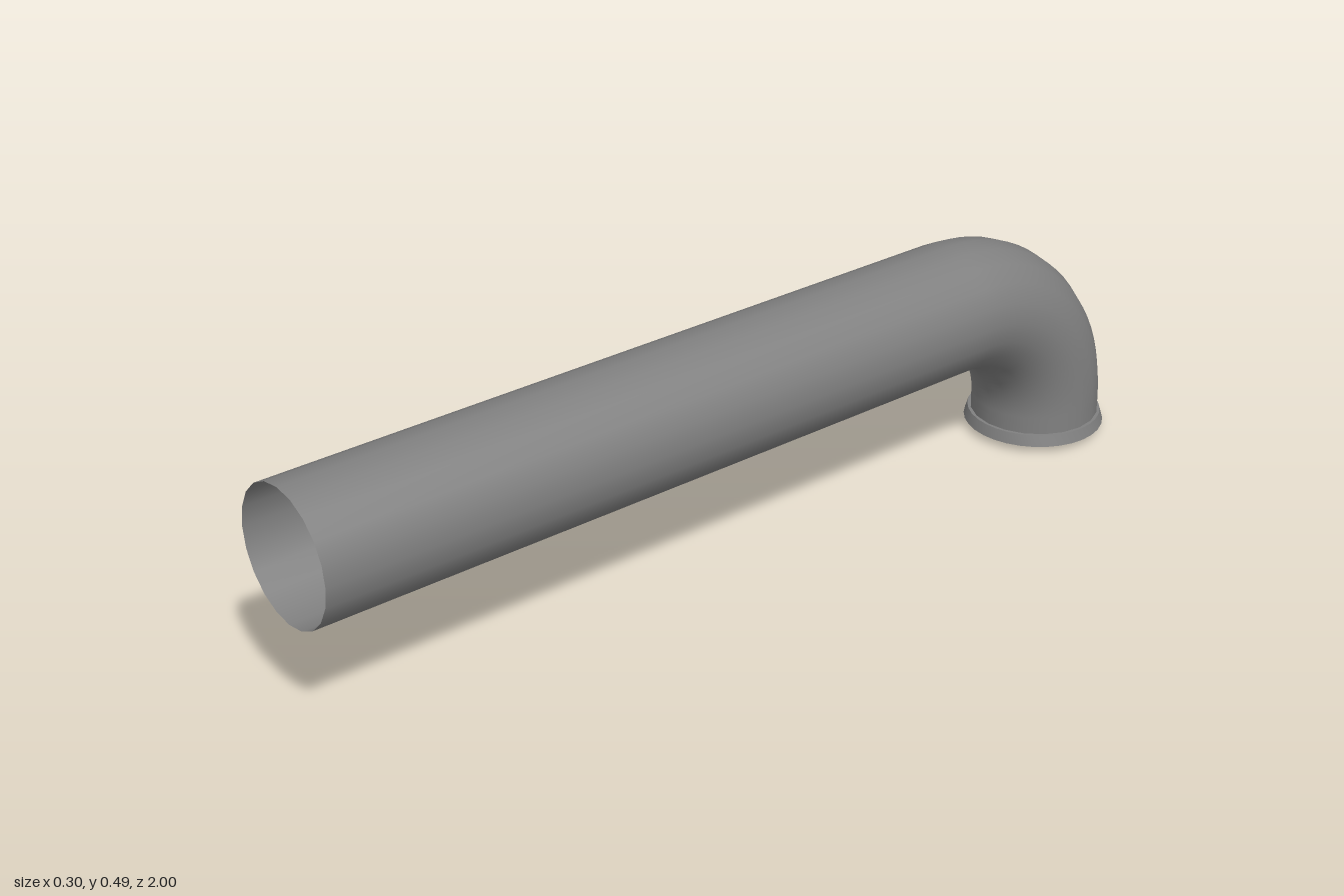
import * as THREE from 'three';
import { toCreasedNormals } from 'three/addons/utils/BufferGeometryUtils.js';

const PIPE_RADIUS = 0.137;
const PIPE_Y = 0.355;
const OUTLET_Z = -0.85;
const BEND = 0.28;
const SIDES = 20;

export function createModel() {
  const group = new THREE.Group();
  const metal = new THREE.MeshStandardMaterial({ color: 0x808080, side: THREE.DoubleSide });
  metal.name = 'grey metal';

  // Centre line: long straight run, quarter-circle elbow, short drop
  const bendZ = OUTLET_Z + BEND;
  const bendY = PIPE_Y - BEND;
  const k = BEND * 0.5523;
  const v = (y, z) => new THREE.Vector3(0, y, z);
  const path = new THREE.CurvePath();
  path.add(new THREE.LineCurve3(v(PIPE_Y, 1), v(PIPE_Y, bendZ)));
  path.add(new THREE.CubicBezierCurve3(
    v(PIPE_Y, bendZ), v(PIPE_Y, bendZ - k), v(bendY + k, OUTLET_Z), v(bendY, OUTLET_Z)));
  path.add(new THREE.LineCurve3(v(bendY, OUTLET_Z), v(0.03, OUTLET_Z)));

  // Open-ended pipe
  const pipe = new THREE.Mesh(new THREE.TubeGeometry(path, 90, PIPE_RADIUS, SIDES, false), metal);
  pipe.name = 'pipe';
  group.add(pipe);

  // Flared flange with stepped concentric rings underneath
  const profile = [
    [0, 0.008], [0.052, 0.008], [0.056, 0], [0.08, 0], [0.082, 0.007],
    [0.105, 0.007], [0.108, 0.014], [0.125, 0.014], [0.135, 0.011],
    [0.15, 0.015], [0.143, 0.039], [0.135, 0.039],
  ].map(([r, y]) => new THREE.Vector2(r, y));
  const flange = new THREE.Mesh(
    toCreasedNormals(new THREE.LatheGeometry(profile, 32), Math.PI / 7), metal);
  flange.name = 'flange';
  flange.position.z = OUTLET_Z;
  group.add(flange);

  return group;
}
